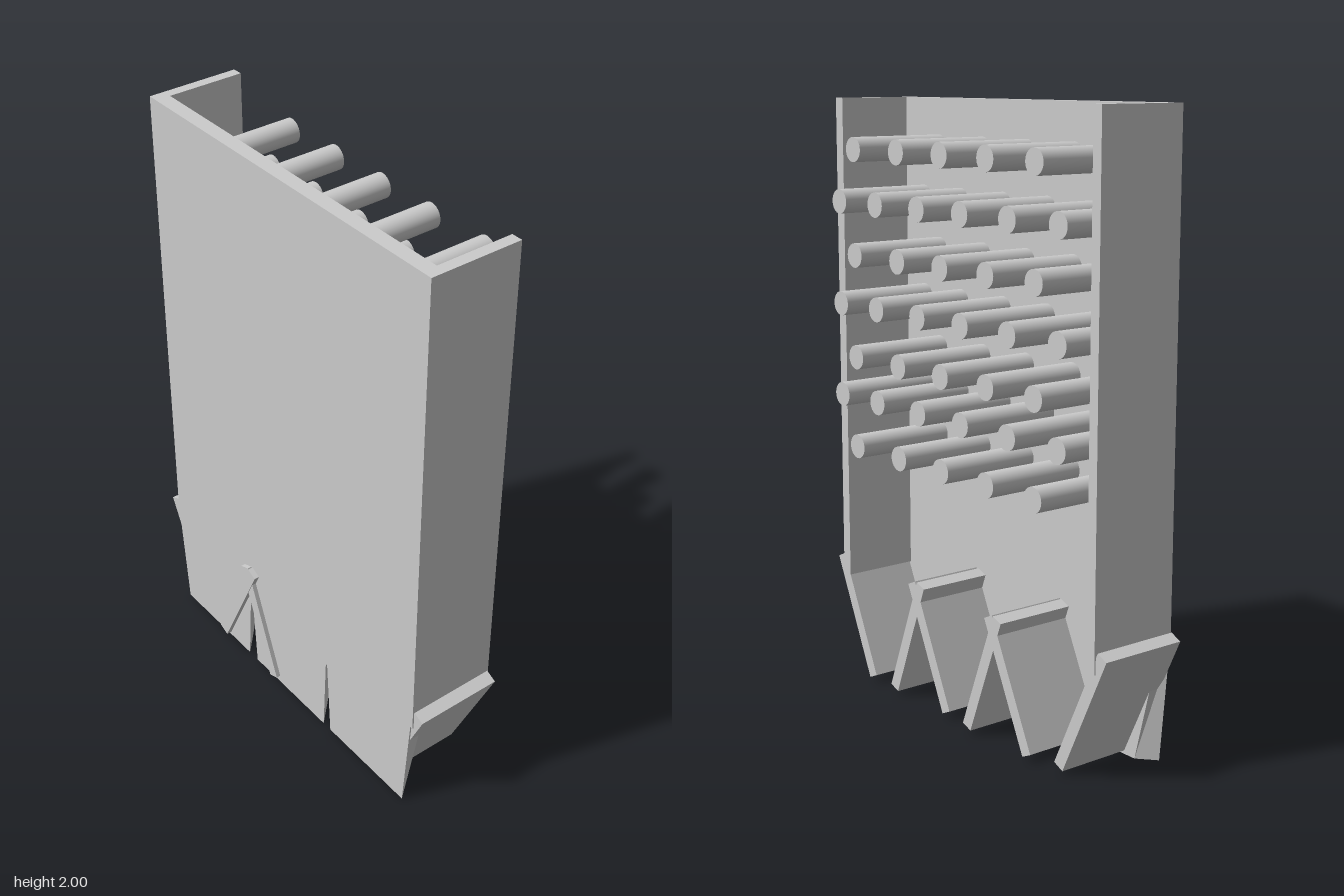
import * as THREE from 'three';

const material = new THREE.MeshStandardMaterial({ color: 0xcccccc, flatShading: true });
const smooth = new THREE.MeshStandardMaterial({ color: 0xcccccc });

export function createModel() {
  const model = new THREE.Group();

  const add = (name, geometry, mat = material) => {
    const mesh = new THREE.Mesh(geometry, mat);
    mesh.name = name;
    model.add(mesh);
    return mesh;
  };

  // Axis-aligned box given by its limits
  const block = (name, x0, x1, y0, y1, z0, z1) =>
    add(name, new THREE.BoxGeometry(x1 - x0, y1 - y0, z1 - z0))
      .position.set((x0 + x1) / 2, (y0 + y1) / 2, (z0 + z1) / 2);

  // Back plate and side walls
  block('backPlate', -0.19, -0.14, 0.36, 2, -0.65, 0.66);
  block('frontWall', -0.14, 0.12, 0.36, 2, 0.622, 0.66);
  block('rearWall', -0.14, 0.12, 0.36, 2, -0.65, -0.615);

  // Tapered tabs below the plate, their side edges bevelled inward
  const tab = (top, outer, inner) => {
    const geometry = new THREE.BoxGeometry(1, 1, 1);
    const p = geometry.attributes.position;
    for (let i = 0; i < p.count; i++) {
      const isInner = p.getX(i) > 0;
      const isTop = p.getY(i) > 0;
      const side = p.getZ(i) > 0 ? 1 : 0;
      const span = isTop ? top : isInner ? inner : outer;
      p.setXYZ(i, isInner ? -0.14 : -0.19, isTop ? 0.36 : 0, span[side]);
    }
    geometry.computeVertexNormals();
    add('plateTab', geometry);
  };
  tab([0.22, 0.65], [0.241, 0.623], [0.305, 0.57]);
  tab([-0.205, 0.22], [-0.183, 0.204], [-0.125, 0.14]);
  tab([-0.645, -0.205], [-0.612, -0.23], [-0.554, -0.284]);

  // Sloping boards: upper and lower z of the centre line, and x limits
  const board = (name, zTop, zBottom, x0, x1) => {
    const dz = zTop - zBottom;
    const dy = 0.4;
    const mesh = add(name, new THREE.BoxGeometry(x1 - x0, Math.hypot(dz, dy), 0.042));
    mesh.position.set((x0 + x1) / 2, 0.22, (zTop + zBottom) / 2);
    mesh.rotation.x = Math.atan2(dz, dy);
  };
  board('frontFlap', 0.681, 0.497, -0.185, 0.115);
  board('rearFlap', -0.677, -0.488, -0.185, 0.115);
  board('frontChevronLeg', 0.209, 0.362, -0.19, 0.12);
  board('frontChevronLeg', 0.257, 0.071, -0.19, 0.12);
  board('rearChevronLeg', -0.22, -0.066, -0.205, 0.14);
  board('rearChevronLeg', -0.176, -0.366, -0.208, 0.14);

  // Staggered rows of pegs
  const pegGeometry = new THREE.CylinderGeometry(0.04, 0.04, 0.355, 32).rotateZ(Math.PI / 2);
  const rowZ = [
    [0.438, 0.203, -0.02, -0.243, -0.466],
    [0.522, 0.32, 0.098, -0.12, -0.345, -0.57],
  ];
  [1.84, 1.67, 1.5, 1.335, 1.165, 1.03, 0.865].forEach((y, row) => {
    for (const z of rowZ[row % 2]) {
      add('peg', pegGeometry, smooth).position.set(0.0275, y, z);
    }
  });

  return model;
}
